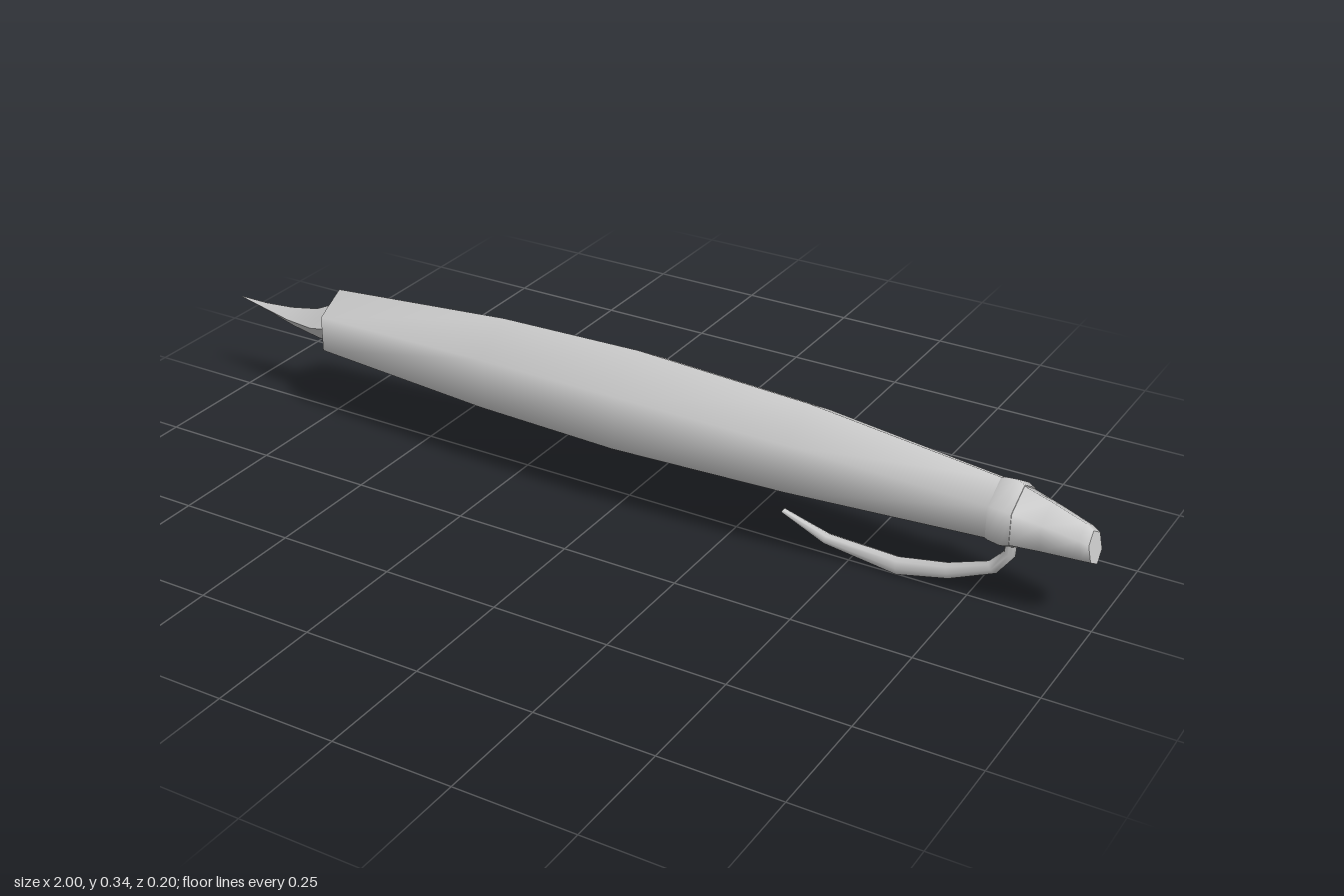
import * as THREE from 'three';
import { toCreasedNormals } from 'three/addons/utils/BufferGeometryUtils.js';

const material = new THREE.MeshStandardMaterial({ color: 0xcccccc });

// Skin over n-sided sections [x, y, halfHeight, halfWidth, tilt]; runs towards +x.
function loft(sections, n, capStart, capEnd) {
  const pos = [], index = [];
  const addRing = ([x, y, h, w, tilt = 0]) => {
    const first = pos.length / 3;
    for (let j = 0; j < n; j++) {
      const a = (j / n) * Math.PI * 2;
      const up = h * Math.cos(a);
      pos.push(x - up * Math.sin(tilt), y + up * Math.cos(tilt), w * Math.sin(a));
    }
    return first;
  };
  const rings = sections.map(addRing);
  for (let i = 0; i + 1 < rings.length; i++) {
    for (let j = 0; j < n; j++) {
      const k = (j + 1) % n;
      const a = rings[i] + j, b = rings[i] + k;
      const c = rings[i + 1] + j, d = rings[i + 1] + k;
      index.push(a, b, c, b, d, c);
    }
  }
  // End faces get their own ring so the rim stays sharp.
  if (capStart) {
    const s = addRing(sections[0]);
    for (let j = 1; j < n - 1; j++) index.push(s, s + j + 1, s + j);
  }
  if (capEnd) {
    const e = addRing(sections[sections.length - 1]);
    for (let j = 1; j < n - 1; j++) index.push(e, e + j, e + j + 1);
  }
  const geometry = new THREE.BufferGeometry();
  geometry.setAttribute('position', new THREE.Float32BufferAttribute(pos, 3));
  geometry.setIndex(index);
  geometry.computeVertexNormals();
  return geometry;
}

export function createModel() {
  const group = new THREE.Group();
  const add = (name, geometry) => {
    const mesh = new THREE.Mesh(geometry, material);
    mesh.name = name;
    group.add(mesh);
  };
  const round = ([x, y, r, tilt]) => [x, y, r, r, tilt];

  // Six-sided barrel, open where the nib comes out
  add('barrel', loft([
    [-0.725, 0.219, 0.078],
    [-0.3, 0.222, 0.109],
    [0.02, 0.221, 0.117],
    [0.4, 0.218, 0.102],
    [0.81, 0.206, 0.066],
  ].map(round), 6, false, false));

  // Raised collar around the rear of the barrel
  add('collar', loft([
    [0.795, 0.206, 0.066],
    [0.805, 0.206, 0.07],
    [0.83, 0.205, 0.073],
    [0.845, 0.203, 0.067],
  ].map(round), 6, true, true));

  // Tapered end piece with a slanted face
  add('endCap', loft([
    [0.84, 0.203, 0.066],
    [0.9, 0.196, 0.054],
    [0.972, 0.186, 0.04, 0.12],
    [0.99, 0.181, 0.034, 0.2],
  ].map(round), 6, false, true));

  // Pointed nib with a ridge along the top and a curved underside
  add('nib', toCreasedNormals(loft([
    [-1, 0.216, 0.001, 0.001],
    [-0.93, 0.208, 0.009, 0.01],
    [-0.86, 0.201, 0.022, 0.02],
    [-0.79, 0.201, 0.035, 0.029],
    [-0.73, 0.215, 0.049, 0.037],
    [-0.68, 0.217, 0.05, 0.04],
  ], 4, true, true), 0.7));

  // Curved clip hanging below the collar, from its free tip to its root
  add('clip', loft([
    [0.353, 0.071, 0.005, 0.006, -0.45],
    [0.45, 0.036, 0.012, 0.011, -0.25],
    [0.605, 0.022, 0.02, 0.015, 0.05],
    [0.71, 0.044, 0.017, 0.015, 0.3],
    [0.797, 0.079, 0.014, 0.013, 0.65],
    [0.828, 0.118, 0.012, 0.01, 1.3],
    [0.83, 0.16, 0.012, 0.01, 1.57],
  ], 8, true, true));

  return group;
}
